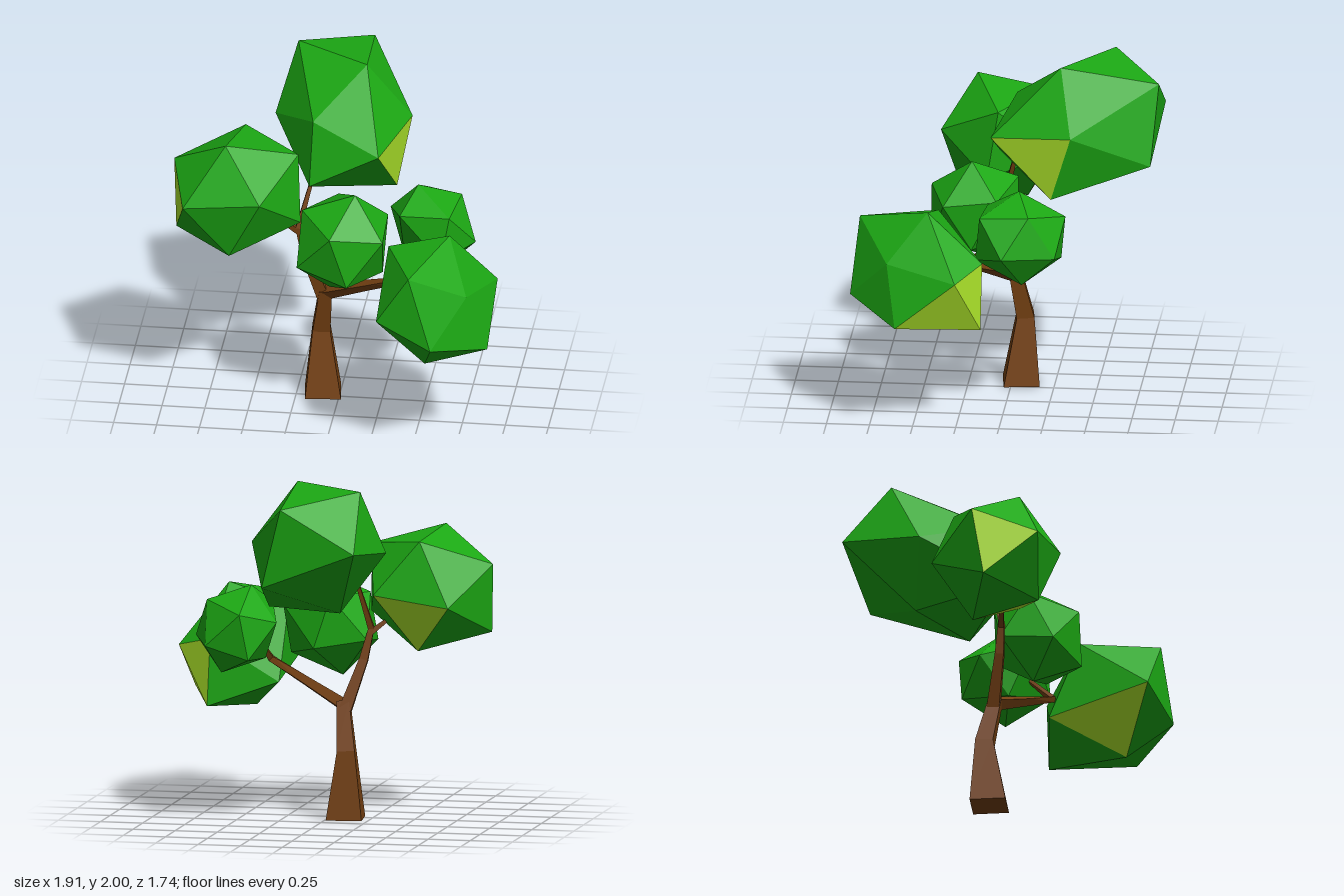
import * as THREE from 'three';
import { ConvexGeometry } from 'three/addons/geometries/ConvexGeometry.js';

const bark = new THREE.MeshStandardMaterial({ color: 0x744012, flatShading: true });
const leaf = new THREE.MeshStandardMaterial({ color: 0x1ca814, flatShading: true });
const lime = new THREE.MeshStandardMaterial({ color: 0xade52a, flatShading: true });
const PHI = (1 + Math.sqrt(5)) / 2;
const vec = (a) => new THREE.Vector3(...a);

function add(group, name, geometry, material) {
  const mesh = new THREE.Mesh(geometry, material);
  mesh.name = name;
  group.add(mesh);
}

// Four-sided tapering limb through stations of [x, y, z, radius].
function limb(stations) {
  const turn = Math.PI / 4 - 0.12;
  const points = stations.map((s) => vec(s.slice(0, 3)));
  const up = new THREE.Vector3(0, 1, 0);
  const position = [], index = [], last = points.length - 1;
  points.forEach((p, i) => {
    const dir = points[Math.min(i + 1, last)].clone().sub(points[Math.max(i - 1, 0)]).normalize();
    if (p.y === 0) dir.copy(up); // the foot sits flat on the ground
    const q = new THREE.Quaternion().setFromUnitVectors(up, dir);
    for (let k = 0; k < 4; k++) {
      const a = turn + (k * Math.PI) / 2, r = stations[i][3];
      const v = new THREE.Vector3(Math.cos(a) * r, 0, Math.sin(a) * r).applyQuaternion(q).add(p);
      position.push(v.x, v.y, v.z);
      if (i < last) {
        const b = i * 4 + k, c = i * 4 + ((k + 1) % 4);
        index.push(b, b + 4, c, c, b + 4, c + 4);
      }
    }
  });
  const e = last * 4;
  index.push(0, 1, 2, 0, 2, 3, e, e + 2, e + 1, e, e + 3, e + 2); // end caps
  const g = new THREE.BufferGeometry();
  g.setAttribute('position', new THREE.Float32BufferAttribute(position, 3));
  g.setIndex(index);
  const flat = g.toNonIndexed();
  flat.computeVertexNormals();
  return flat;
}

// The item whose point lies closest to the target.
function nearest(items, target, point) {
  return items.reduce((a, b) => (point(b).distanceTo(target) < point(a).distanceTo(target) ? b : a));
}

// Skewed icosahedron, given its centre and the three corners of one face
// relative to it. Each nudge pulls the closest corner to that place, and the
// faces closest to the lime points get the lighter colour.
function foliage(name, { center, face, nudges = [], limeAt = [] }) {
  const group = new THREE.Group();
  group.name = name;
  const from = new THREE.Matrix4().makeBasis(vec([0, 1, PHI]), vec([0, -1, PHI]), vec([PHI, 0, 1])).invert();
  const map = new THREE.Matrix4().makeBasis(...face.map(vec)).multiply(from);
  const corners = [];
  for (const s of [1, -1]) for (const t of [PHI, -PHI]) {
    for (const c of [[0, s, t], [s, t, 0], [t, 0, s]]) corners.push(vec(c).applyMatrix4(map));
  }
  nudges.map(vec).forEach((to) => nearest(corners, to, (c) => c).copy(to));

  const hull = new ConvexGeometry(corners).getAttribute('position');
  const tris = [];
  for (let i = 0; i < hull.count; i += 3) {
    const t = [0, 1, 2].map((k) => new THREE.Vector3().fromBufferAttribute(hull, i + k));
    tris.push({ t, mid: t[0].clone().add(t[1]).add(t[2]).divideScalar(3) });
  }
  const picked = new Set(limeAt.map((a) => nearest(tris, vec(a), (f) => f.mid)));
  const build = (list) => {
    const g = new THREE.BufferGeometry().setFromPoints(list.flatMap((f) => f.t));
    g.computeVertexNormals();
    return g;
  };
  add(group, 'leaves', build(tris.filter((f) => !picked.has(f))), leaf);
  if (picked.size) add(group, 'lightLeaves', build([...picked]), lime);
  group.position.set(...center);
  return group;
}

export function createModel() {
  const tree = new THREE.Group();
  tree.name = 'tree';

  // Trunk and branches
  add(tree, 'trunk', limb([[-0.1, 0, -0.052, 0.147], [-0.112, 0.4, -0.075, 0.073], [-0.08, 0.68, -0.018, 0.052]]), bark);
  add(tree, 'rightBranch', limb([[-0.09, 0.62, -0.03, 0.052], [-0.19, 0.92, 0.03, 0.036],
    [-0.23, 1.1, 0.05, 0.025], [-0.15, 1.42, -0.03, 0.012]]), bark);
  add(tree, 'rightTwig', limb([[-0.22, 1.07, 0.045, 0.025], [-0.36, 1.18, 0.08, 0.012]]), bark);
  add(tree, 'leftBranch', limb([[-0.08, 0.66, -0.02, 0.045], [0.18, 0.78, 0.1, 0.032],
    [0.4, 0.88, 0.21, 0.024], [0.46, 1.04, 0.06, 0.014]]), bark);

  // Foliage clumps
  tree.add(foliage('rightFoliage', {
    center: [-0.58, 1.345, 0.098],
    face: [[-0.05, 0.355, 0.15], [-0.28, 0.015, 0.31], [-0.375, 0.155, -0.06]],
    limeAt: [[-0.34, -0.03, 0.07], [0.14, -0.27, 0.06], [0.05, -0.15, -0.27]],
  }));
  tree.add(foliage('topFoliage', {
    center: [-0.02, 1.63, -0.388],
    face: [[0.145, 0.37, 0.085], [0.4, 0.02, 0.008], [0.26, -0.03, 0.483]],
    nudges: [[0.12, 0.28, -0.482], [0.24, -0.185, -0.442], [-0.315, 0.03, -0.482], [-0.29, 0.36, -0.197],
      [-0.145, -0.25, 0.458], [-0.135, 0.12, 0.363], [0.325, -0.375, 0.128]],
    limeAt: [[0.33, -0.13, 0.21]],
  }));
  tree.add(foliage('middleFoliage', {
    center: [0.045, 1.107, 0.203],
    face: [[0.075, 0.305, 0.01], [-0.045, 0.123, 0.255], [-0.235, 0.185, 0]],
  }));
  tree.add(foliage('backFoliage', {
    center: [0.535, 1.095, -0.105],
    face: [[-0.085, 0.257, 0.015], [-0.075, 0.115, -0.255], [0.16, 0.175, -0.06]],
    nudges: [[-0.17, 0.14, 0.205]],
  }));
  tree.add(foliage('leftFoliage', {
    center: [0.637, 0.92, 0.488],
    face: [[0.06, 0.37, -0.07], [-0.13, 0.275, 0.34], [-0.3, 0.265, -0.1]],
    nudges: [[0.185, 0.09, 0.157], [0.003, -0.16, 0.385], [0.12, -0.317, -0.382], [0.317, 0.02, -0.25],
      [-0.322, -0.025, 0.305], [0.1, 0.08, -0.39], [-0.285, -0.175, -0.29], [-0.062, -0.37, 0.12]],
    limeAt: [[0.25, -0.19, -0.18], [0.18, -0.07, -0.34], [-0.22, -0.19, 0.05]],
  }));
  return tree;
}
